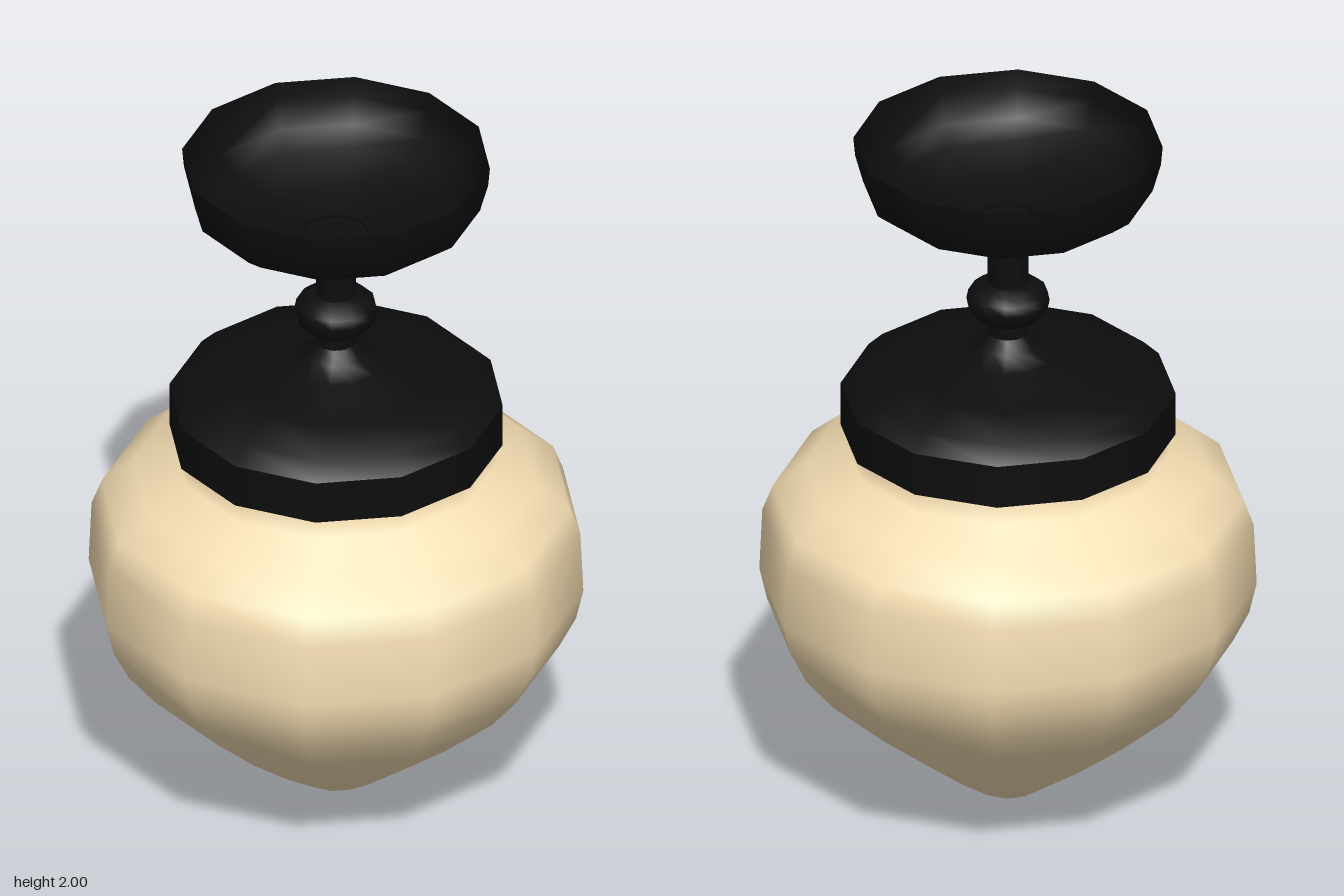
import * as THREE from 'three';

const SIDES = 12;
const black = new THREE.MeshStandardMaterial({ color: 0x0d0d0d, side: THREE.DoubleSide });
const cream = new THREE.MeshStandardMaterial({ color: 0xf5deb3, side: THREE.DoubleSide });

// Turned part from [radius, height] pairs, listed bottom to top
function turned(name, profile, material) {
  const points = profile.map(([r, y]) => new THREE.Vector2(r, y));
  const mesh = new THREE.Mesh(new THREE.LatheGeometry(points, SIDES), material);
  mesh.name = name;
  return mesh;
}

export function createModel() {
  const lamp = new THREE.Group();
  lamp.name = 'ceilingLamp';

  // Pointed glass bowl with a narrow neck
  lamp.add(turned('glassShade', [
    [0, 0], [0.05, 0.012], [0.1, 0.04], [0.22, 0.125], [0.37, 0.245], [0.53, 0.39],
    [0.61, 0.49], [0.655, 0.58], [0.675, 0.67], [0.667, 0.85], [0.638, 0.925],
    [0.55, 1.0], [0.44, 1.06], [0.42, 1.09], [0.41, 1.15],
  ], cream));

  // Holder: straight skirt, then a cap that flares up into the rod
  lamp.add(turned('holderSkirt', [[0.455, 1.12], [0.455, 1.245]], black));
  lamp.add(turned('holderCap', [
    [0.455, 1.245], [0.41, 1.29], [0.3, 1.325], [0.13, 1.355],
    [0.08, 1.385], [0.055, 1.42],
  ], black));

  // Hollow rod and its round knob
  lamp.add(turned('rod', [[0.055, 1.4], [0.055, 1.72]], black));
  lamp.add(turned('knob', [
    [0.05, 1.46], [0.085, 1.47], [0.108, 1.495], [0.113, 1.52],
    [0.108, 1.545], [0.085, 1.565], [0.05, 1.575],
  ], black));

  // Collar under the ceiling cup
  lamp.add(turned('collarBase', [[0.05, 1.705], [0.09, 1.705]], black));
  lamp.add(turned('collar', [[0.09, 1.705], [0.09, 1.765]], black));

  // Ceiling cup, open at the top with a small wire hole
  lamp.add(turned('ceilingCup', [
    [0.01, 1.752], [0.09, 1.757], [0.21, 1.783], [0.34, 1.823],
    [0.393, 1.865], [0.415, 1.945], [0.42, 2],
  ], black));

  return lamp;
}
